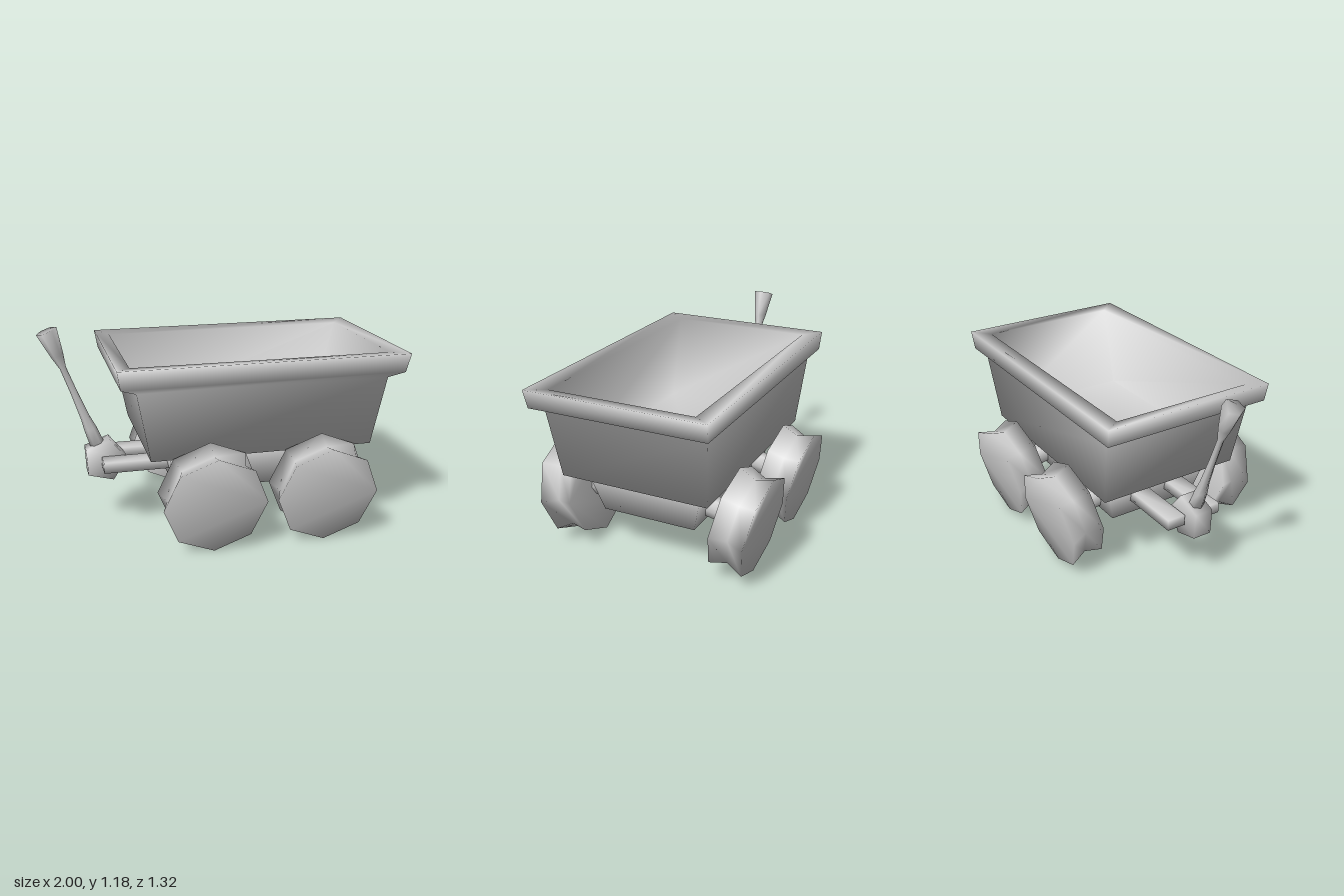
import * as THREE from 'three';

const grey = new THREE.MeshStandardMaterial({ color: 0xcccccc });
grey.name = 'plain grey';

// Joins equal cross-sections, listed along +y, into a closed smooth solid
function loft(name, rings) {
  const n = rings[0].length, index = [];
  for (let i = 0; i < rings.length - 1; i++) {
    for (let j = 0; j < n; j++) {
      const a = i * n + j, b = i * n + (j + 1) % n;
      index.push(a, b, b + n, a, b + n, a + n);
    }
  }
  const top = (rings.length - 1) * n;
  for (let j = 1; j < n - 1; j++) {
    index.push(0, j + 1, j);
    index.push(top, top + j, top + j + 1);
  }
  const geometry = new THREE.BufferGeometry();
  geometry.setAttribute('position', new THREE.Float32BufferAttribute(rings.flat(2), 3));
  geometry.setIndex(index);
  geometry.computeVertexNormals();
  const mesh = new THREE.Mesh(geometry, grey);
  mesh.name = name;
  return mesh;
}

// Rectangular cross-section at height y
const rect = (y, x0, x1, hz) => [[x0, y, hz], [x1, y, hz], [x1, y, -hz], [x0, y, -hz]];

// Regular polygon cross-section at height y
function polygon(y, r, sides, offset = 0) {
  return Array.from({ length: sides }, (_, k) => {
    const a = offset + (k / sides) * Math.PI * 2;
    return [r * Math.cos(a), y, -r * Math.sin(a)];
  });
}

// Turned part from [height, radius] pairs
const turned = (name, profile, sides, offset) =>
  loft(name, profile.map(([y, r]) => polygon(y, r, sides, offset)));

// Wheel with a waisted tread and its stub axle, leaning outward at the top
function createWheel(x, side) {
  const group = new THREE.Group();
  group.name = side > 0 ? 'frontSideWheel' : 'backSideWheel';
  group.add(turned('wheelDrum', [[0, 0.287], [0.095, 0.252], [0.193, 0.29]], 8));
  group.add(turned('stubAxle', [[-0.2, 0.06], [0.01, 0.064]], 6));
  group.position.set(x, 0.32, 0.42 * side);
  group.rotation.x = side * THREE.MathUtils.degToRad(100);
  return group;
}

// Brake lever with pivot hub and support arms
function createLever() {
  const group = new THREE.Group();
  group.name = 'brakeLever';

  const hub = turned('pivotHub', [[-0.055, 0.128], [0.055, 0.128]], 5, 0.05);
  hub.position.set(-0.655, 0.39, 0);
  hub.rotation.x = Math.PI / 2;
  group.add(hub);

  const pin = turned('pivotPin', [[-0.1, 0.025], [0.1, 0.025]], 6);
  pin.position.set(-0.64, 0.39, 0);
  pin.rotation.x = Math.PI / 2;
  group.add(pin);

  const handle = turned('leverHandle', [
    [0, 0.042], [0.11, 0.036], [0.18, 0.027], [0.34, 0.02],
    [0.5, 0.018], [0.58, 0.036], [0.73, 0.06],
  ], 6);
  handle.position.set(-0.69, 0.475, 0);
  handle.rotation.z = Math.atan2(0.255, 0.69);
  group.add(handle);

  for (const s of [-1, 1]) {
    const arm = loft('supportArm', [
      rect(0.358, -0.675, -0.25, 0.055), rect(0.42, -0.675, -0.25, 0.055),
    ]);
    arm.position.z = s * 0.117;
    group.add(arm);
  }
  return group;
}

export function createModel() {
  const model = new THREE.Group();
  model.name = 'mineCart';

  // Open tub: outer wall, flared rim, inner wall and floor
  model.add(loft('tub', [
    rect(0.505, -0.45, 0.82, 0.43),
    rect(0.9, -0.525, 0.89, 0.465),
    rect(0.935, -0.612, 0.975, 0.507),
    rect(1.04, -0.63, 1.0, 0.515),
    rect(1.03, -0.55, 0.915, 0.415),
    rect(0.56, -0.42, 0.79, 0.405),
  ]));

  // Tapered undercarriage
  model.add(loft('undercarriage', [
    rect(0.26, -0.28, 0.66, 0.277),
    rect(0.51, -0.34, 0.72, 0.345),
  ]));

  for (const x of [-0.13, 0.508]) {
    for (const side of [-1, 1]) model.add(createWheel(x, side));
  }
  model.add(createLever());
  return model;
}
